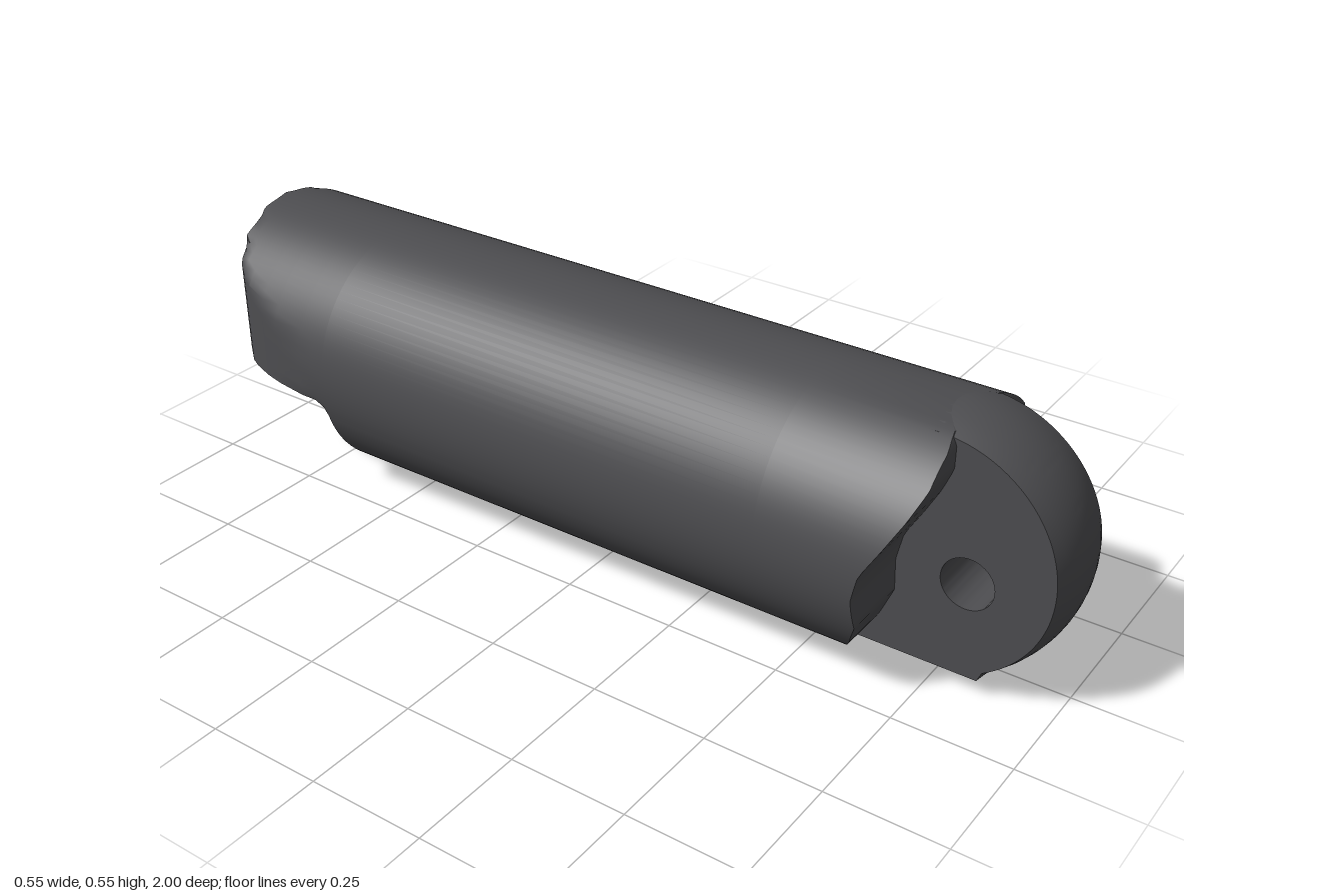
import * as THREE from 'three';
import { toCreasedNormals } from 'three/addons/utils/BufferGeometryUtils.js';

const R = 0.277; // barrel radius and height of its axis

// Linear lookup in a short list of [input, output] pairs
function lookup(table, v) {
  for (let i = 1; i < table.length; i++) {
    const [a, fa] = table[i - 1], [b, fb] = table[i];
    if (v <= b) return fa + (fb - fa) * Math.max(0, (v - a) / (b - a));
  }
  return table[table.length - 1][1];
}

// z of the barrel's front end at each height
const frontEnd = [[0, 0.56], [0.034, 0.565], [0.04, 0.595], [0.1, 0.635], [0.17, 0.665], [0.24, 0.662],
  [0.3, 0.675], [0.36, 0.71], [0.42, 0.742], [0.47, 0.762], [0.52, 0.762], [0.54, 0.75], [0.554, 0.71]];

// Rings along the barrel: z, half width limit, lowest y
const rings = [[-1, 0, 0.3], [-0.992, 0.08, 0.292], [-0.975, 0.155, 0.275], [-0.95, 0.2, 0.25],
  [-0.93, 0.215, 0.23], [-0.9, 0.23, 0.23], [-0.85, 0.248, 0.23], [-0.8, 0.26, 0.23], [-0.72, 0.275, 0.23],
  [-0.68, 0.28, 0.23], [-0.66, 0.28, 0.215], [-0.65, 0.28, 0.19], [-0.65, 0.28, 0], [0.45, 0.28, 0],
  [null, 0.28, 0], [null, 0, 0]];

function barrelGeometry() {
  const n = 96, pos = [], idx = [];
  for (const [z, w, low] of rings) {
    for (let j = 0; j <= n; j++) {
      const t = (j / n) * Math.PI * 2;
      const x = THREE.MathUtils.clamp(R * Math.sin(t), -w, w);
      const y = R + R * Math.cos(t);
      pos.push(x, Math.max(y, low), z === null ? lookup(frontEnd, y) : z);
    }
  }
  for (let i = 0; i < rings.length - 1; i++) {
    for (let j = 0; j < n; j++) {
      const a = i * (n + 1) + j, b = a + n + 1;
      idx.push(a, b, a + 1, b, b + 1, a + 1);
    }
  }
  const g = new THREE.BufferGeometry();
  g.setAttribute('position', new THREE.Float32BufferAttribute(pos, 3));
  g.setIndex(idx);
  return toCreasedNormals(g, 0.7);
}

// Slice of a ball with a cross hole and a flat underside
function tongueGeometry() {
  const cz = 0.723, half = 0.1, flat = 0.035;
  const s = new THREE.Shape();
  s.moveTo(0.5, flat);
  s.lineTo(cz + Math.sqrt(R * R - (R - flat) ** 2), flat);
  s.absarc(cz, R, R, -Math.asin((R - flat) / R), Math.PI / 2, false);
  s.lineTo(0.6, 0.553);
  s.lineTo(0.5, 0.45);
  s.closePath();
  const hole = new THREE.Path();
  hole.absarc(0.81, 0.24, 0.055, 0, Math.PI * 2, true);
  s.holes.push(hole);
  const g = new THREE.ExtrudeGeometry(s, { depth: half * 2, steps: 8, bevelEnabled: false, curveSegments: 32 });
  g.translate(0, 0, -half);
  g.rotateY(-Math.PI / 2);
  g.scale(-1, 1, 1);
  g.rotateY(Math.PI);
  // Bring the profile to z, and pull the rim in towards the sides
  const p = g.attributes.position;
  let maxZ = -Infinity;
  for (let i = 0; i < p.count; i++) maxZ = Math.max(maxZ, p.getZ(i));
  const flip = maxZ < 0 ? -1 : 1;
  for (let i = 0; i < p.count; i++) {
    const x = p.getX(i), y = p.getY(i), z = p.getZ(i) * flip;
    const k = Math.hypot(y - R, z - cz) > 0.2 ? Math.sqrt(1 - (x / R) ** 2) : 1;
    const ny = y < flat + 0.001 ? y : R + (y - R) * k;
    p.setXYZ(i, x, ny, cz + (z - cz) * k);
  }
  // Keep the faces turned outwards
  let volume = 0;
  const a = new THREE.Vector3(), b = new THREE.Vector3(), c = new THREE.Vector3();
  for (let i = 0; i < p.count; i += 3) {
    a.fromBufferAttribute(p, i);
    b.fromBufferAttribute(p, i + 1);
    c.fromBufferAttribute(p, i + 2);
    volume += a.dot(b.clone().cross(c));
  }
  if (volume < 0) {
    for (let i = 0; i < p.count; i += 3) {
      b.fromBufferAttribute(p, i + 1);
      c.fromBufferAttribute(p, i + 2);
      p.setXYZ(i + 1, c.x, c.y, c.z);
      p.setXYZ(i + 2, b.x, b.y, b.z);
    }
  }
  g.deleteAttribute('uv');
  return toCreasedNormals(g, 0.6);
}

export function createModel() {
  const group = new THREE.Group();
  const grey = new THREE.MeshStandardMaterial({ color: 0x4d4d50 });
  grey.name = 'dark grey';
  const add = (name, geometry) => {
    const m = new THREE.Mesh(geometry, grey);
    m.name = name;
    group.add(m);
    return m;
  };
  add('barrel', barrelGeometry());
  add('tongue', tongueGeometry());
  // Peg under the rear overhang
  add('peg', new THREE.CylinderGeometry(0.065, 0.065, 0.16, 32)).position.set(0, 0.175, -0.802);
  return group;
}
